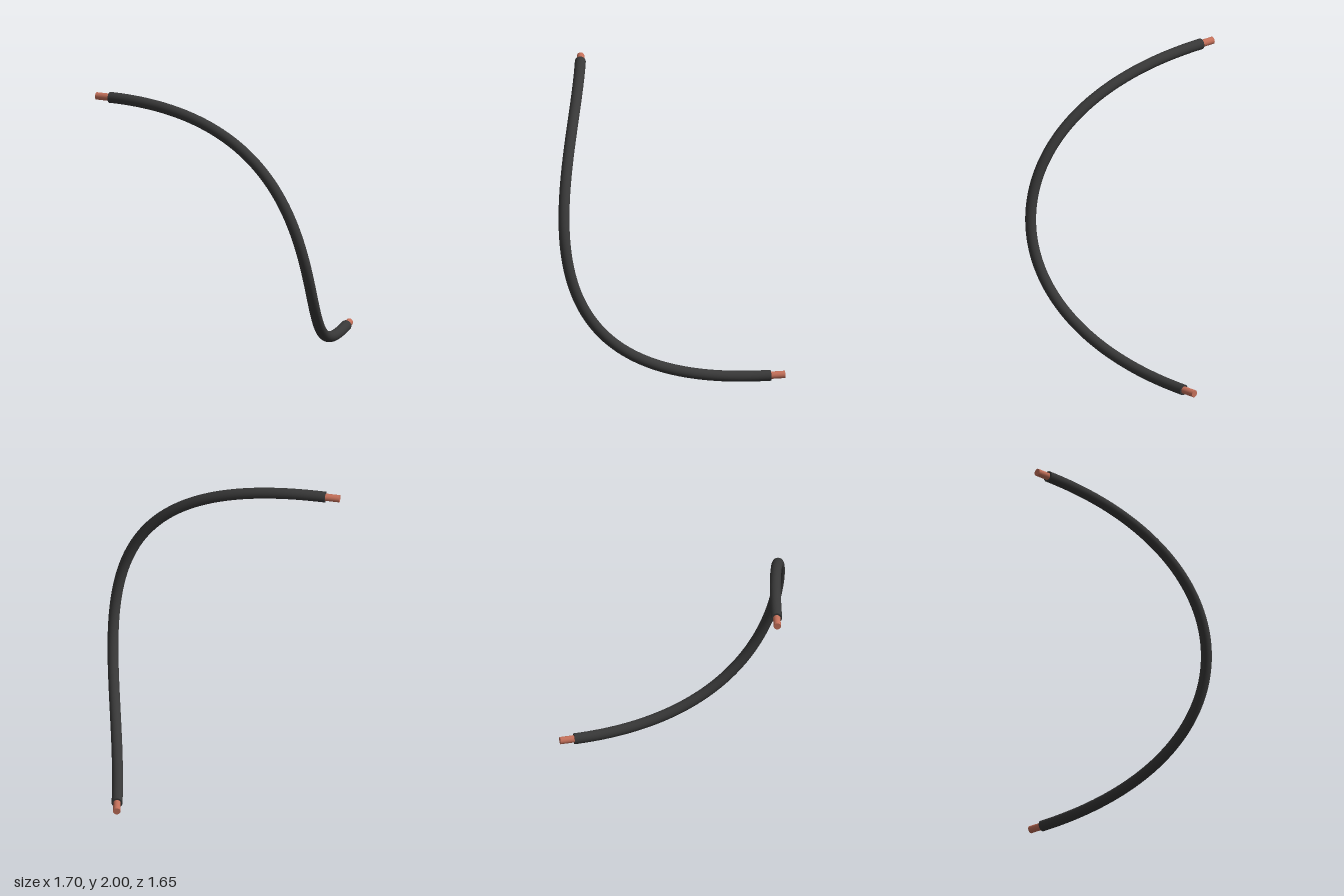
import * as THREE from 'three';

const CABLE_RADIUS = 0.04;
const WIRE_RADIUS = 0.027;
const WIRE_LENGTH = 0.105; // bare length beyond the sleeve

export function createModel() {
  const group = new THREE.Group();
  const rubber = new THREE.MeshStandardMaterial({ color: 0x383838 });
  const copper = new THREE.MeshStandardMaterial({ color: 0xc4705a });

  // Centre line of the bent cable
  const path = new THREE.CubicBezierCurve3(
    new THREE.Vector3(-0.75, 1.962, 0.703),
    new THREE.Vector3(1.295, 1.962, 0.703),
    new THREE.Vector3(0.87, 0.04, 1.293),
    new THREE.Vector3(0.505, 0.04, -0.716)
  );

  // Insulating sleeve
  const sleeve = new THREE.Mesh(new THREE.TubeGeometry(path, 128, CABLE_RADIUS, 24), rubber);
  sleeve.name = 'sleeve';
  group.add(sleeve);

  // Each end: a flat sleeve face and a bare copper conductor, pointing outwards
  for (const [name, t, sign] of [['upper', 0, -1], ['lower', 1, 1]]) {
    const end = new THREE.Group();
    end.name = name + 'End';
    end.position.copy(path.getPoint(t));
    const outward = path.getTangent(t).multiplyScalar(sign);
    end.quaternion.setFromUnitVectors(new THREE.Vector3(0, 0, 1), outward);

    const face = new THREE.Mesh(new THREE.CircleGeometry(CABLE_RADIUS, 24), rubber);
    face.name = name + 'SleeveFace';

    const wireGeometry = new THREE.CylinderGeometry(WIRE_RADIUS, WIRE_RADIUS, WIRE_LENGTH, 24);
    wireGeometry.rotateX(Math.PI / 2).translate(0, 0, WIRE_LENGTH / 2);
    const wire = new THREE.Mesh(wireGeometry, copper);
    wire.name = name + 'Conductor';

    end.add(face, wire);
    group.add(end);
  }
  return group;
}
